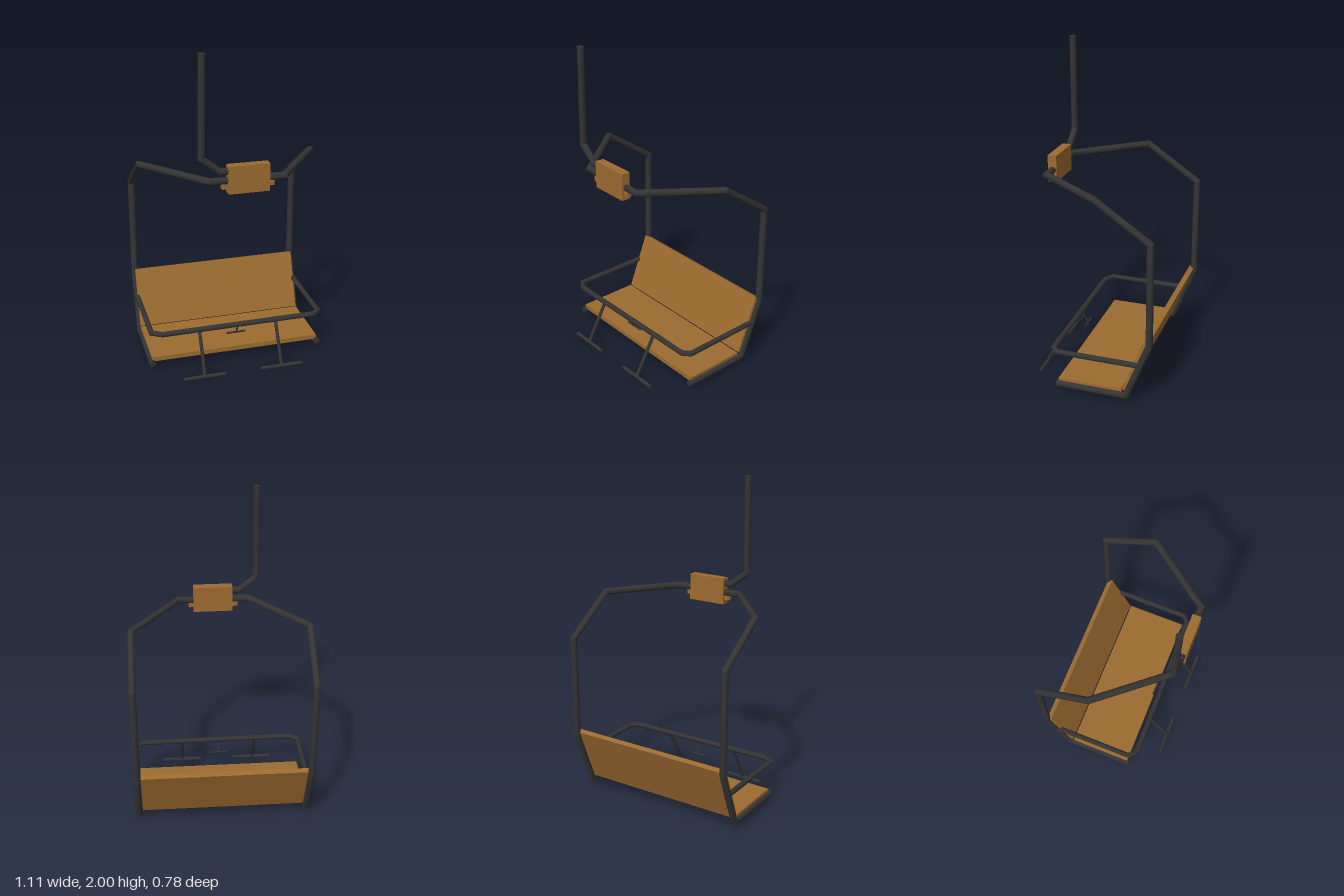
import * as THREE from 'three';
import { toCreasedNormals } from 'three/addons/utils/BufferGeometryUtils.js';

const steel = new THREE.MeshStandardMaterial({ color: 0x333333 });
const wood = new THREE.MeshStandardMaterial({ color: 0x9c6b30 });
const SIDES = 14;

// Round pipe through straight segments, mitred at every bend
function pipeGeometry(coords, radius) {
  const pts = coords.map((c) => new THREE.Vector3(...c));
  const dirs = pts.slice(1).map((p, i) => p.clone().sub(pts[i]).normalize());
  const helper = Math.abs(dirs[0].y) > 0.9 ? new THREE.Vector3(1, 0, 0) : new THREE.Vector3(0, 1, 0);
  const u = helper.cross(dirs[0]).normalize();
  const v = dirs[0].clone().cross(u);
  const rings = [[]];
  for (let j = 0; j < SIDES; j++) {
    const a = (j / SIDES) * Math.PI * 2;
    rings[0].push(pts[0].clone().addScaledVector(u, Math.cos(a) * radius).addScaledVector(v, Math.sin(a) * radius));
  }
  dirs.forEach((d, i) => {
    const end = pts[i + 1];
    const n = d.clone().add(dirs[i + 1] || d).normalize();
    rings.push(rings[i].map((p) => p.clone().addScaledVector(d, end.clone().sub(p).dot(n) / d.dot(n))));
  });
  const pos = [];
  const tri = (...ps) => ps.forEach((p) => pos.push(p.x, p.y, p.z));
  const last = rings.length - 1;
  for (let j = 0; j < SIDES; j++) {
    const k = (j + 1) % SIDES;
    for (let i = 0; i < last; i++) {
      tri(rings[i][j], rings[i][k], rings[i + 1][k]);
      tri(rings[i][j], rings[i + 1][k], rings[i + 1][j]);
    }
    tri(pts[0], rings[0][k], rings[0][j]);
    tri(pts[last], rings[last][j], rings[last][k]);
  }
  const g = new THREE.BufferGeometry();
  g.setAttribute('position', new THREE.Float32BufferAttribute(pos, 3));
  return toCreasedNormals(g, 0.5);
}

export function createModel() {
  const model = new THREE.Group();
  model.name = 'chairlift';

  const add = (name, geometry, material) => {
    const mesh = new THREE.Mesh(geometry, material);
    mesh.name = name;
    model.add(mesh);
    return mesh;
  };
  const pipe = (name, radius, coords) => add(name, pipeGeometry(coords, radius), steel);
  const box = (name, [w, h, d], [x, y, z]) =>
    add(name, new THREE.BoxGeometry(w, h, d), wood).position.set(x, y, z);

  // Main frame: seat rail, back post, shoulder and top arm on each side
  const frameSide = (s, topX) => [
    [s * 0.535, 0.047, 0.21], [s * 0.535, 0.047, -0.23], [s * 0.535, 0.405, -0.37],
    [s * 0.535, 1.04, -0.37], [s * 0.535, 1.265, -0.04], [topX, 1.265, 0.36],
  ];
  pipe('frame', 0.021, [...frameSide(-1, -0.2), ...frameSide(1, 0.24).reverse()]);

  // Hanger pole, cranked into the clamp block
  pipe('hanger', 0.02, [
    [-0.243, 2, 0.365], [-0.25, 1.408, 0.365], [-0.145, 1.322, 0.365], [0, 1.322, 0.365],
  ]);

  // Clamp block with small side lugs
  box('clampBlock', [0.245, 0.165, 0.055], [0.0225, 1.2725, 0.3625]);
  box('clampLugs', [0.31, 0.028, 0.03], [0.02, 1.232, 0.362]);

  // Seat and tilted backrest, sharing one board width
  box('seat', [1.07, 0.03, 0.395], [0, 0.07, -0.002]);
  const profile = new THREE.Shape([
    [-0.205, 0.085], [-0.34, 0.434], [-0.369, 0.423], [-0.234, 0.074],
  ].map(([z, y]) => new THREE.Vector2(-z, y)));
  const back = new THREE.ExtrudeGeometry(profile, { depth: 1.07, bevelEnabled: false });
  back.translate(0, 0, -0.535).rotateY(Math.PI / 2);
  add('backrest', back, wood);

  // Safety bar
  pipe('safetyBar', 0.0165, [
    [-0.537, 0.265, -0.315], [-0.537, 0.265, 0.21], [-0.477, 0.265, 0.247],
    [0.496, 0.265, 0.238], [0.537, 0.265, 0.202], [0.537, 0.265, -0.315],
  ]);

  // Footrests
  for (const x of [-0.246, 0.242]) {
    pipe('footrestStem', 0.0105, [[x, 0.265, 0.243], [x, 0.018, 0.38]]);
    pipe('footrestBar', 0.0115, [[x - 0.132, 0.0125, 0.379], [x + 0.132, 0.0125, 0.379]]);
  }

  // Small hand grip under the middle of the bar
  pipe('gripStem', 0.005, [[0, 0.26, 0.243], [0, 0.188, 0.2]]);
  pipe('gripBar', 0.006, [[-0.06, 0.188, 0.2], [0.06, 0.188, 0.2]]);

  return model;
}
